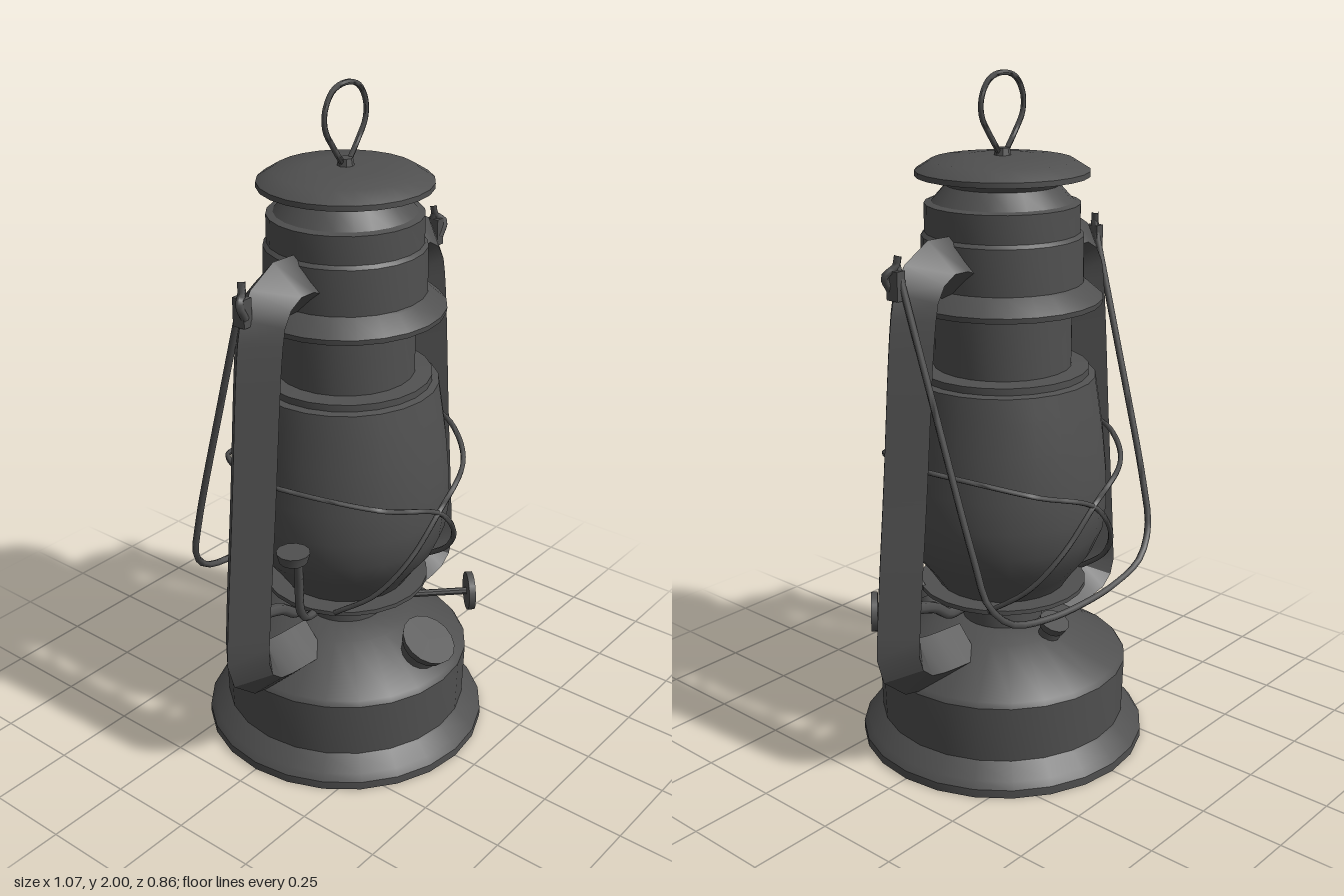
import * as THREE from 'three';
import { toCreasedNormals } from 'three/addons/utils/BufferGeometryUtils.js';

export function createModel() {
  const lantern = new THREE.Group();
  lantern.name = 'lantern';
  const iron = new THREE.MeshStandardMaterial({ color: 0x505050 });
  iron.name = 'dark iron';

  const V = (p) => new THREE.Vector3(...p);
  const mirror = (pts, sx, sz = 1) => pts.map(([x, y, z]) => [x * sx, y, z * sz]);

  function add(name, geometry, crease = 0.6) {
    const mesh = new THREE.Mesh(toCreasedNormals(geometry, crease), iron);
    mesh.name = name;
    lantern.add(mesh);
    return mesh;
  }
  // Turned part from [radius, height] pairs, bottom to top
  function turned(name, profile, sides = 24) {
    return add(name, new THREE.LatheGeometry(profile.map(([r, y]) => new THREE.Vector2(r, y)), sides));
  }
  // Bent wire or pipe through points
  function wire(name, pts, radius = 0.009, steps = 32, sides = 6, closed = false, crease = 1.2) {
    const curve = new THREE.CatmullRomCurve3(pts.map(V), closed, 'centripetal');
    return add(name, new THREE.TubeGeometry(curve, steps, radius, sides, closed), crease);
  }
  // Short cylinder centred at a point with its axis along dir
  function disc(name, rTop, rBottom, height, at, dir, sides = 16) {
    const mesh = add(name, new THREE.CylinderGeometry(rTop, rBottom, height, sides));
    mesh.position.set(...at);
    mesh.quaternion.setFromUnitVectors(new THREE.Vector3(0, 1, 0), V(dir).normalize());
    return mesh;
  }

  // Fuel tank with flared foot and domed top
  turned('tank', [[0, 0], [0.43, 0], [0.43, 0.025], [0.415, 0.045], [0.375, 0.08], [0.37, 0.085],
    [0.375, 0.255], [0.365, 0.27], [0.2, 0.365], [0.12, 0.385], [0, 0.385]]);
  // Burner and globe seat
  turned('burner', [[0.12, 0.37], [0.12, 0.49], [0.25, 0.49], [0.25, 0.503], [0, 0.503]]);
  // Globe
  turned('globe', [[0.19, 0.5], [0.22, 0.545], [0.27, 0.61], [0.3, 0.68], [0.31, 0.76], [0.308, 0.85],
    [0.295, 0.98], [0.28, 1.08], [0.27, 1.145], [0.25, 1.15], [0.25, 1.17], [0.2, 1.175]]);
  // Chimney with its flange and bands
  turned('chimney', [[0.2, 1.165], [0.2, 1.36], [0.285, 1.36], [0.287, 1.375], [0.24, 1.415],
    [0.232, 1.42], [0.23, 1.55], [0.22, 1.56], [0.22, 1.64], [0.2, 1.645], [0.16, 1.69], [0.18, 1.72]]);
  // Cap
  turned('cap', [[0, 1.715], [0.245, 1.715], [0.245, 1.73], [0.2, 1.758], [0.1, 1.768], [0, 1.77]]);

  // Lifting ring on the cap
  wire('liftingRing', [[0.012, 1.775, 0], [0.05, 1.825, 0], [0.085, 1.88, 0], [0.086, 1.93, 0], [0.055, 1.977, 0],
    [0, 1.992, 0], [-0.055, 1.977, 0], [-0.086, 1.93, 0], [-0.085, 1.88, 0], [-0.05, 1.825, 0], [-0.012, 1.775, 0]],
    0.008, 40);
  disc('ringFoot', 0.02, 0.026, 0.03, [0, 1.775, 0], [0, 1, 0], 8);

  // Paired parts on both sides
  for (const s of [1, -1]) {
    // Square air pipe set edge-on
    wire('sidePipe', mirror([[0.19, 1.475, 0], [0.25, 1.495, 0], [0.31, 1.485, 0], [0.35, 1.435, 0], [0.366, 1.36, 0],
      [0.408, 0.9, 0], [0.445, 0.5, 0], [0.448, 0.42, 0], [0.42, 0.365, 0], [0.36, 0.345, 0], [0.2, 0.33, 0]], s),
      0.084, 30, 4, false, 0.4);
    // Ear and hook that hold the bail
    const ear = add('bailEar', new THREE.BoxGeometry(0.03, 0.08, 0.04));
    ear.position.set(s * 0.425, 1.475, 0);
    wire('bailHook', mirror([[0.43, 1.46, 0.015], [0.45, 1.5, 0.015], [0.425, 1.525, 0], [0.42, 1.555, -0.005]], s), 0.011, 12);
    // Bracket from burner to pipe
    wire('globeBracket', mirror([[0.18, 0.465, 0], [0.24, 0.465, 0], [0.3, 0.505, 0], [0.38, 0.53, 0]], s), 0.018, 12);
    // Guard wires, crossing at front and back
    for (const f of [1, -1]) {
      wire('guardWire', mirror([[-0.36, 0.945, 0.03], [-0.31, 0.93, 0.16], [-0.19, 0.885, 0.29], [0, 0.815, 0.34],
        [0.11, 0.7, 0.32], [0.175, 0.59, 0.25], [0.21, 0.5, 0.13]], s, f), 0.008, 36);
    }
  }

  // Carrying bail, hanging behind
  const half = [[0.42, 1.53, 0], [0.408, 1.2, -0.1], [0.388, 0.75, -0.235], [0.37, 0.62, -0.27],
    [0.3, 0.545, -0.293], [0.16, 0.512, -0.305]];
  wire('bail', [...half, [0, 0.505, -0.31], ...mirror(half, -1).reverse()], 0.01, 64);

  // Globe lift lever with thumb plate
  wire('liftLever', [[-0.2, 0.48, 0.06], [-0.28, 0.5, 0.08], [-0.33, 0.56, 0.1], [-0.345, 0.66, 0.11], [-0.36, 0.77, 0.12]], 0.013, 20);
  disc('leverPlate', 0.048, 0.04, 0.03, [-0.385, 0.77, 0.125], [0, 1, 0], 12);

  // Wick adjuster
  disc('wickShaft', 0.011, 0.011, 0.3, [0.17, 0.395, 0.17], [1, 0, 1], 8);
  disc('wickKnob', 0.06, 0.06, 0.02, [0.275, 0.395, 0.275], [1, 0, 1], 16);

  // Filler cap on the front slope, small plug on the back
  disc('fillerNeck', 0.055, 0.06, 0.09, [0, 0.325, 0.29], [0, 0.87, 0.5]);
  disc('fillerCap', 0.085, 0.075, 0.03, [0, 0.363, 0.312], [0, 0.87, 0.5]);
  disc('plugNeck', 0.03, 0.035, 0.08, [0, 0.37, -0.185], [0, 0.9, -0.4], 12);
  disc('plugCap', 0.046, 0.04, 0.025, [0, 0.405, -0.2], [0, 0.9, -0.4], 12);

  return lantern;
}
